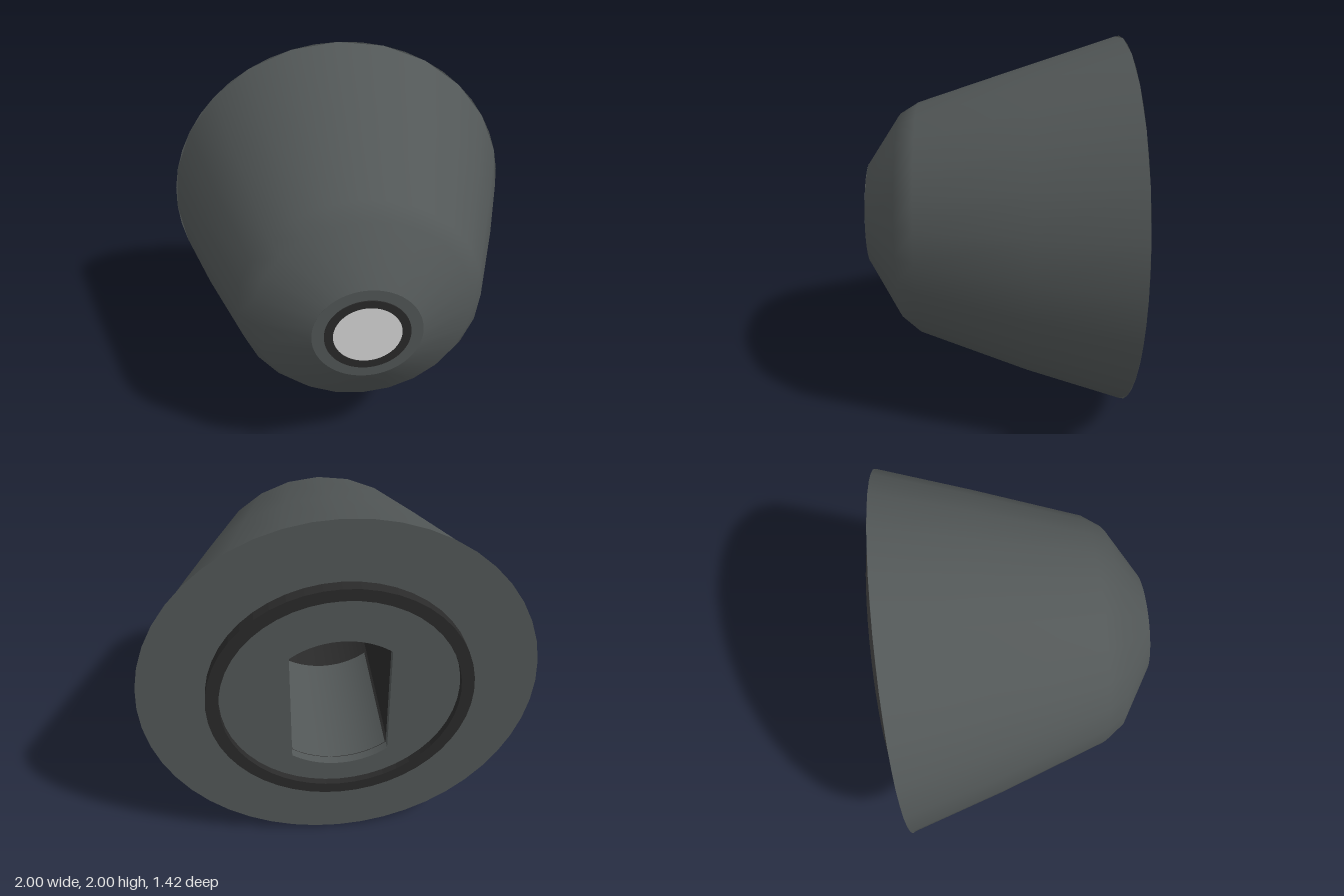
import * as THREE from 'three';

const shellMat = new THREE.MeshStandardMaterial({ color: 0x525757, side: THREE.DoubleSide });
shellMat.name = 'slate grey';
const darkMat = new THREE.MeshStandardMaterial({ color: 0x2a2a2a });
darkMat.name = 'dark rubber';
const lightMat = new THREE.MeshStandardMaterial({ color: 0xd8d8d8 });
lightMat.name = 'pale lens';

// Circle outline, starting at the top so that facets line up with the shell
function circle(r, y, Type = THREE.Shape) {
  return new Type().absarc(0, y, r, Math.PI / 2, Math.PI * 2.5, false);
}

// Round opening with two flat vertical sides
function slot(r, halfWidth, y) {
  const a = Math.acos(halfWidth / r);
  const path = new THREE.Path();
  path.absarc(0, y, r, a, Math.PI - a, false);
  path.absarc(0, y, r, Math.PI + a, Math.PI * 2 - a, false);
  path.closePath();
  return path;
}

// Flat-faced slab between z0 and z1
function slab(outline, hole, z0, z1, segments = 24) {
  if (hole) outline.holes.push(hole);
  const geo = new THREE.ExtrudeGeometry(outline, {
    depth: z1 - z0, bevelEnabled: false, curveSegments: segments,
  });
  return geo.translate(0, 0, z0);
}

export function createModel() {
  const group = new THREE.Group();
  const add = (name, geo, mat) => {
    const mesh = new THREE.Mesh(geo, mat);
    mesh.name = name;
    group.add(mesh);
    return mesh;
  };

  // Tapered body: radius, depth and centre height of each section
  const sections = [
    [1, -0.65, 1], [0.84, -0.15, 1], [0.636, 0.43, 1.015],
    [0.563, 0.53, 1.027], [0.277, 0.705, 1.045],
  ];
  const body = new THREE.LatheGeometry(
    sections.map(([r, z]) => new THREE.Vector2(r, z)), 24);
  body.rotateX(Math.PI / 2);
  const pos = body.attributes.position;
  for (let i = 0; i < pos.count; i++) {
    const s = sections[i % sections.length];
    pos.setY(i, pos.getY(i) + s[2]);
  }
  add('bodyShell', body, shellMat);

  // Nose: flat rim, dark ring and pale disc
  add('noseRim', slab(circle(0.277, 1.045), circle(0.2, 1.045, THREE.Path), 0.695, 0.705, 48), shellMat);
  add('noseRing', slab(circle(0.216, 1.045), circle(0.172, 1.045, THREE.Path), 0.69, 0.71, 48), darkMat);
  add('noseDisc', slab(circle(0.175, 1.045), null, 0.69, 0.706, 48), lightMat);

  // Back face with its raised dark gasket
  const back = circle(1, 1);
  back.holes.push(circle(0.63, 1.013, THREE.Path));
  add('backFace', new THREE.ShapeGeometry(back, 24).translate(0, 0, -0.65), shellMat);
  add('gasket', slab(circle(0.665, 1.013), circle(0.6, 1.013, THREE.Path), -0.71, -0.62), darkMat);

  // Recessed plate with the flat-sided opening
  const slotY = 0.945;
  add('backPlate', slab(circle(0.605, 1.013), slot(0.41, 0.25, slotY), -0.675, -0.63), shellMat);

  // Deep pocket behind the opening
  add('pocketWall', slab(circle(0.46, slotY), slot(0.42, 0.26, slotY), -0.63, 0.35), darkMat);
  add('pocketEnd', slab(circle(0.45, slotY), null, 0.35, 0.37), darkMat);
  const floor = new THREE.CylinderGeometry(0.412, 0.412, 0.75, 12, 1, true, -0.64, 1.28);
  add('pocketFloor', floor.rotateX(Math.PI / 2).translate(0, slotY, -0.25), shellMat);

  return group;
}
